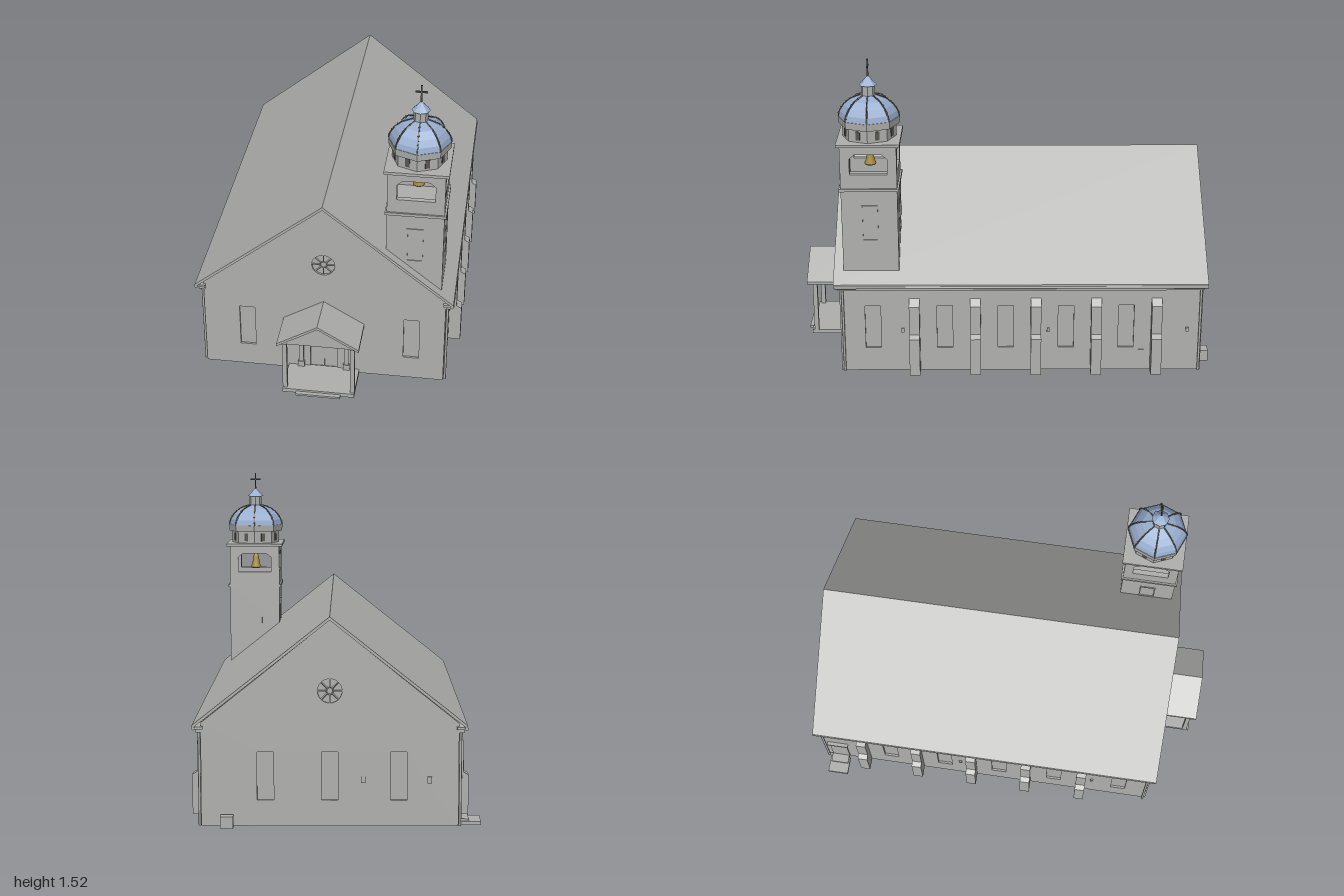
import * as THREE from 'three';

const mat = (name, color) => {
  const m = new THREE.MeshStandardMaterial({ color });
  m.name = name;
  return m;
};

export function createModel() {
  const stone = mat('stone grey', 0xb0b0ae);
  const blue = mat('dome blue', 0x98aed0);
  const gold = mat('bell gold', 0xa8893c);
  const dark = mat('dark metal', 0x5a5850);

  const model = new THREE.Group();
  const church = new THREE.Group();
  church.name = 'church';
  church.position.x = 0.02;
  model.add(church);

  const add = (parent, name, geo, material, x = 0, y = 0, z = 0) => {
    const m = new THREE.Mesh(geo, material);
    m.name = name;
    m.position.set(x, y, z);
    parent.add(m);
    return m;
  };
  const box = (parent, name, w, h, d, x, y, z, material = stone) =>
    add(parent, name, new THREE.BoxGeometry(w, h, d), material, x, y, z);
  const poly = (pts) => new THREE.Shape(pts.map(([x, y]) => new THREE.Vector2(x, y)));
  const extrude = (shape, depth) =>
    new THREE.ExtrudeGeometry(shape, { depth, bevelEnabled: false, curveSegments: 12 });
  const rect = (x, y0, w, h) =>
    [[x - w / 2, y0], [x + w / 2, y0], [x + w / 2, y0 + h], [x - w / 2, y0 + h]];
  // square bar between two points
  const bar = (parent, name, a, b, t, material) => {
    const A = new THREE.Vector3(...a), B = new THREE.Vector3(...b);
    const m = box(parent, name, t, t, A.distanceTo(B), 0, 0, 0, material);
    m.position.copy(A).add(B).multiplyScalar(0.5);
    m.quaternion.setFromUnitVectors(new THREE.Vector3(0, 0, 1), B.clone().sub(A).normalize());
  };
  // faceted surface of revolution
  const lathe = (profile, sides) => {
    const g = new THREE.LatheGeometry(profile.map(([r, y]) => new THREE.Vector2(r, y)), sides).toNonIndexed();
    g.computeVertexNormals();
    return g;
  };

  // wall with recessed windows; outer face on local z = 0
  const T = 0.02;
  const wall = (name, outline, windows, x, z, rotY, extra = {}) => {
    const g = new THREE.Group();
    g.name = name;
    g.position.set(x, 0, z);
    g.rotation.y = rotY;
    church.add(g);
    const shape = poly(outline);
    windows.forEach((wx) => {
      shape.holes.push(poly(rect(wx, 0.12, 0.075, 0.222)));
      box(g, 'windowPane', 0.075, 0.222, 0.006, wx, 0.231, -0.013);
    });
    if (extra.rose) {
      const y = 0.62, r = 0.055;
      shape.holes.push(new THREE.Path().absarc(0, y, r, 0, Math.PI * 2, true));
      add(g, 'roseWindowPane', new THREE.CylinderGeometry(r, r, 0.006, 24).rotateX(Math.PI / 2), stone, 0, y, -0.013);
      add(g, 'roseWindowHub', new THREE.TorusGeometry(0.016, 0.003, 6, 16), stone, 0, y, -0.006);
      for (let i = 0; i < 8; i++) {
        const a = i * Math.PI / 4, c = Math.cos(a), s = Math.sin(a);
        bar(g, 'roseWindowSpoke', [c * 0.016, y + s * 0.016, -0.006], [c * r, y + s * r, -0.006], 0.005, stone);
      }
    }
    if (extra.door) {
      const arch = new THREE.Path().moveTo(-0.066, 0.015).lineTo(0.066, 0.015).lineTo(0.066, 0.16)
        .absarc(0, 0.16, 0.066, 0, Math.PI, false);
      shape.holes.push(arch);
      box(g, 'door', 0.132, 0.212, 0.006, 0, 0.12, -0.016);
      box(g, 'doorSeam', 0.003, 0.2, 0.004, 0, 0.118, -0.012);
    }
    add(g, 'wallPanel', extrude(shape, T), stone, 0, 0, -T);
    return g;
  };

  // nave walls
  const gable = [[-0.58, 0], [0.58, 0], [0.58, 0.474], [0, 0.939], [-0.58, 0.474]];
  const sideOutline = [[-0.85, 0], [0.85, 0], [0.85, 0.455], [-0.85, 0.455]];
  const windowZ = [0.633, 0.288, -0.005, -0.295, -0.585];
  wall('frontWall', gable, [-0.371, 0.422], 0, 0.79, 0, { rose: true, door: true });
  const back = wall('backWall', gable, [-0.29, 0, 0.31], 0, -0.95, Math.PI, { rose: true });
  wall('rightSideWall', sideOutline, windowZ.map((z) => -(z + 0.08)), 0.58, -0.08, Math.PI / 2);
  const left = wall('leftSideWall', sideOutline, windowZ.map((z) => z + 0.08), -0.58, -0.08, -Math.PI / 2);
  [0.15, 0.45].forEach((x) => box(back, 'wallVent', 0.02, 0.03, 0.008, x, 0.215, 0.002));

  // nave roof
  const roof = (hw, eave, top, t) =>
    poly([[-hw, eave], [-hw, eave - t], [0, top - t], [hw, eave - t], [hw, eave], [0, top]].reverse());
  add(church, 'mainRoof', extrude(roof(0.617, 0.467, 0.957, 0.016), 1.785), stone, 0, 0, -0.97);

  // cornices, downpipes and buttresses on both sides
  const buttress = extrude(poly([[0, 0], [0.06, 0], [0.06, 0.19], [0.035, 0.205], [0.035, 0.35], [0, 0.38]]), 0.05)
    .translate(0, 0, -0.025);
  [1, -1].forEach((s) => {
    box(church, 'eaveSoffit', 0.045, 0.012, 1.77, s * 0.592, 0.453, -0.08);
    box(church, 'cornice', 0.03, 0.014, 1.75, s * 0.587, 0.437, -0.08);
    const gutter = add(church, 'gutter', new THREE.CylinderGeometry(0.008, 0.008, 1.78, 8), stone, s * 0.612, 0.452, -0.08);
    gutter.rotation.x = Math.PI / 2;
    [0.775, -0.94].forEach((z) =>
      add(church, 'downpipe', new THREE.CylinderGeometry(0.006, 0.006, 0.44, 8), stone, s * 0.588, 0.22, z));
    [0.433, 0.14, -0.15, -0.44, -0.73].forEach((z) => {
      add(church, 'buttress', buttress, stone, s * 0.58, 0, z).rotation.y = s > 0 ? 0 : Math.PI;
    });
    [0.49, -0.21, -0.88].forEach((z) => box(church, 'wallLamp', 0.01, 0.02, 0.014, s * 0.583, 0.215, z));
  });
  box(church, 'accessHatch', 0.006, 0.035, 0.025, 0.581, 0.09, -0.66);

  // side door with its step, and the box behind the church
  box(left, 'sideDoor', 0.09, 0.2, 0.008, -0.79, 0.115, 0.002);
  box(left, 'sideDoorLintel', 0.11, 0.012, 0.02, -0.79, 0.222, 0.008);
  box(church, 'sideStep', 0.09, 0.016, 0.105, -0.64, 0.008, -0.873);
  box(church, 'sideStepUpper', 0.05, 0.026, 0.09, -0.605, 0.013, -0.873);
  box(church, 'utilityBox', 0.058, 0.055, 0.04, 0.463, 0.0275, -0.98);

  // entrance porch
  const porch = new THREE.Group();
  porch.name = 'porch';
  church.add(porch);
  add(porch, 'porchRoof', extrude(roof(0.195, 0.296, 0.411, 0.014), 0.21), stone, 0, 0, 0.785);
  add(porch, 'porchPediment', extrude(poly([[-0.17, 0.285], [0.17, 0.285], [0.17, 0.298], [0, 0.398], [-0.17, 0.298]]), 0.015), stone, 0, 0, 0.962);
  box(porch, 'porchFloor', 0.345, 0.02, 0.195, 0, 0.01, 0.8825);
  box(porch, 'porchStep', 0.215, 0.01, 0.04, 0, 0.005, 0.98);
  [1, -1].forEach((s) => {
    box(porch, 'porchPost', 0.022, 0.27, 0.022, s * 0.162, 0.15, 0.958);
    box(porch, 'porchBeam', 0.022, 0.02, 0.19, s * 0.162, 0.288, 0.88);
    box(porch, 'doorPilaster', 0.022, 0.225, 0.012, s * 0.11, 0.1325, 0.795);
    box(porch, 'pilasterBase', 0.032, 0.03, 0.016, s * 0.11, 0.035, 0.797);
    box(porch, 'porchLamp', 0.016, 0.022, 0.016, s * 0.15, 0.205, 0.797);
  });
  box(porch, 'porchFrontBeam', 0.345, 0.016, 0.022, 0, 0.288, 0.958);
  box(porch, 'doorEntablature', 0.26, 0.016, 0.016, 0, 0.25, 0.797);
  box(porch, 'doorCornice', 0.295, 0.012, 0.024, 0, 0.264, 0.8);

  // bell tower, its foot cut along the roof slope
  const tower = new THREE.Group();
  tower.name = 'bellTower';
  tower.position.set(0.423, 0, 0.635);
  church.add(tower);
  const H = 0.1325;
  add(tower, 'towerShaft', extrude(poly([[-H, 0.715], [H, 0.505], [H, 0.925], [-H, 0.925]]), 2 * H), stone, 0, 0, -H);
  box(tower, 'belfryLedge', 0.282, 0.014, 0.282, 0, 0.925, 0);
  box(tower, 'towerTopSlab', 0.297, 0.014, 0.297, 0, 1.145, 0);
  for (let i = 0; i < 4; i++) {
    const side = new THREE.Group();
    side.name = 'towerSide';
    side.rotation.y = i * Math.PI / 2;
    tower.add(side);
    // framed tower window; the side over the nave has no room below
    const y0 = i === 3 ? 0.735 : 0.672, y1 = 0.845, h = y1 - y0, m = (y0 + y1) / 2;
    [-1, 1].forEach((s) => box(side, 'towerWindowJamb', 0.006, h, 0.008, s * 0.036, m, H));
    [y0, y1].forEach((y) => box(side, 'towerWindowRail', 0.078, 0.006, 0.008, 0, y, H));
    // belfry wall with a chamfered opening
    const w = i % 2 ? H - 0.025 : H;
    const s = poly([[-w, 0.93], [w, 0.93], [w, 1.14], [-w, 1.14]]);
    s.holes.push(poly([[-0.088, 1.0], [0.088, 1.0], [0.088, 1.078], [0.062, 1.1], [-0.062, 1.1], [-0.088, 1.078]]));
    add(side, 'belfryWall', extrude(s, 0.025), stone, 0, 0, H - 0.025);
  }

  // bell and its hanger
  add(tower, 'bell', new THREE.LatheGeometry([[0, 1.012], [0.027, 1.01], [0.028, 1.016], [0.02, 1.035], [0.015, 1.07], [0.011, 1.085], [0, 1.09]]
    .map(([r, y]) => new THREE.Vector2(r, y)), 20), gold);
  box(tower, 'bellHanger', 0.008, 0.055, 0.008, 0, 1.113, 0, dark);

  // octagonal drum and dome
  add(tower, 'drum', lathe([[0.127, 1.15], [0.127, 1.218]], 8), stone);
  add(tower, 'domeBand', lathe([[0.12, 1.214], [0.143, 1.214], [0.145, 1.248], [0.13, 1.25]], 8), stone);
  const prof = [[0.143, 1.248], [0.136, 1.275], [0.117, 1.305], [0.085, 1.333], [0.035, 1.352]];
  add(tower, 'dome', lathe(prof, 8), blue);
  for (let i = 0; i < 8; i++) {
    const a = i * Math.PI / 4, at = ([r, y]) => [Math.sin(a) * r, y, Math.cos(a) * r];
    for (let j = 0; j < prof.length - 1; j++) {
      bar(tower, 'domeRib', at(prof[j]), at(prof[j + 1]), 0.006, dark);
      const mid = [(prof[j][0] + prof[j + 1][0]) / 2 + 0.003, (prof[j][1] + prof[j + 1][1]) / 2 + 0.002];
      add(tower, 'ribStud', new THREE.SphereGeometry(0.004, 6, 4), gold, ...at(mid));
    }
    // slit windows in the drum
    const b = a + Math.PI / 8, r = 0.127 * Math.cos(Math.PI / 8);
    box(tower, 'drumWindow', 0.022, 0.042, 0.006, Math.sin(b) * r, 1.184, Math.cos(b) * r, dark).rotation.y = b;
  }

  // lantern and cross
  add(tower, 'lantern', lathe([[0.033, 1.345], [0.033, 1.4]], 8), stone);
  add(tower, 'lanternRoof', lathe([[0.001, 1.398], [0.043, 1.4], [0.025, 1.418], [0.004, 1.442]], 8), blue);
  box(tower, 'crossPost', 0.007, 0.09, 0.007, 0, 1.478, 0, dark);
  box(tower, 'crossArm', 0.056, 0.007, 0.007, 0, 1.49, 0, dark);

  return model;
}
